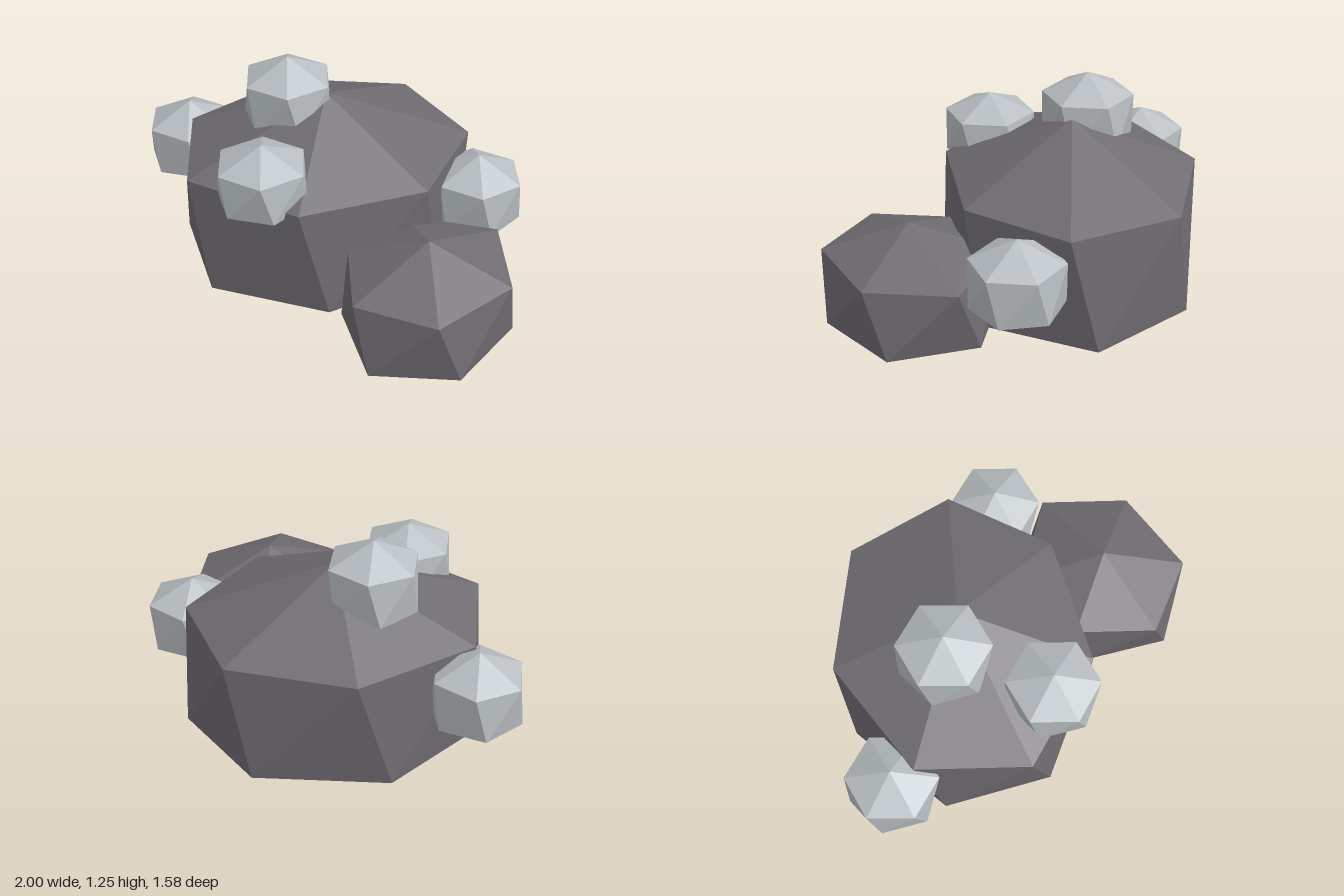
import * as THREE from 'three';
import { ConvexGeometry } from 'three/addons/geometries/ConvexGeometry.js';

const rad = THREE.MathUtils.degToRad;

// Flat-faced stone: two poles and two slightly twisted rings at half height.
// Each ring is a list of [angle in degrees, radius].
function stone(name, material, [x, y, z], half, upper, lower) {
  const points = [new THREE.Vector3(0, half, 0), new THREE.Vector3(0, -half, 0)];
  const addRing = (ring, h) => ring.forEach(([a, r]) =>
    points.push(new THREE.Vector3(r * Math.cos(rad(a)), h, r * Math.sin(rad(a)))));
  addRing(upper, half * 0.51);
  addRing(lower, -half * 0.51);
  const mesh = new THREE.Mesh(new ConvexGeometry(points), material);
  mesh.name = name;
  mesh.position.set(x, y, z);
  return mesh;
}

export function createModel() {
  const group = new THREE.Group();
  group.name = 'oreRock';
  const rock = new THREE.MeshStandardMaterial({ color: 0x6f6c72, flatShading: true });
  rock.name = 'dark grey rock';
  const ore = new THREE.MeshStandardMaterial({ color: 0xb8bec2, flatShading: true });
  ore.name = 'pale silver ore';

  // Main seven-sided boulder
  group.add(stone('mainBoulder', rock, [-0.04, 0.545, -0.15], 0.545,
    [[-125, 0.61], [-69, 0.67], [-22.6, 0.7], [26, 0.635], [84, 0.64], [134.5, 0.73], [179, 0.69]],
    [[-140, 0.62], [-80, 0.65], [-33, 0.72], [16, 0.65], [71.5, 0.63], [123.5, 0.71], [168, 0.705]]));

  // Six-sided side boulder
  group.add(stone('sideBoulder', rock, [0.6, 0.42, 0.38], 0.32,
    [[3, 0.39], [70, 0.41], [125.5, 0.43], [183, 0.38], [241, 0.41], [303, 0.455]],
    [[-13, 0.41], [53, 0.4], [111, 0.44], [173, 0.39], [230, 0.42], [287, 0.44]]));

  // Ore nuggets set into the boulder
  const ring = (start) => Array.from({ length: 6 }, (_, i) => [start + i * 60, 0.218]);
  const nuggets = [
    ['topNugget', [-0.23, 1.035, -0.15], 0.215],
    ['frontNugget', [-0.19, 0.885, 0.35], 0.19],
    ['leftNugget', [0.7, 0.625, -0.21], 0.215],
    ['rightNugget', [-0.78, 0.647, -0.23], 0.217],
  ];
  for (const [name, position, half] of nuggets) {
    group.add(stone(name, ore, position, half, ring(12), ring(-3)));
  }
  return group;
}
